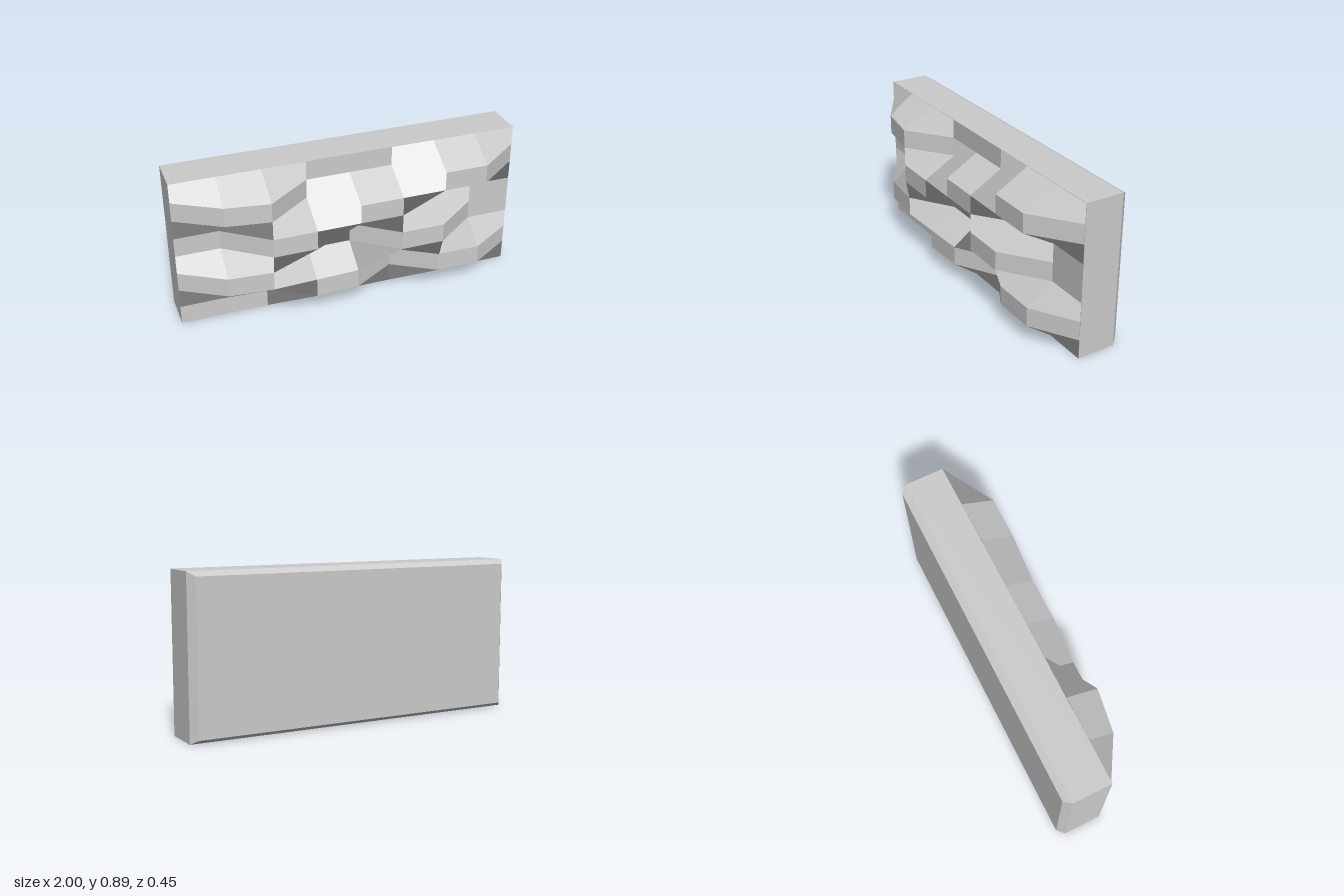
import * as THREE from 'three';

const W = 2, H = 0.889, N = 8;
const FRONT = 0.037, BEVEL_Z = -0.185, BACK = -0.226;

// How far the rock stands out at each grid point, in hundredths, top row first
const RELIEF = [
  [0, 0, 0, 0, 0, 0, 0, 0, 0],
  [0, 15, 19, 0, 0, 0, 19, 19, 0],
  [0, 15, 19, 0, 19, 19, 19, 19, 0],
  [0, 0, 19, 19, 19, 19, 0, 0, 0],
  [0, 0, 19, 19, 0, 19, 19, 0, 0],
  [0, 15, 17, 0, 0, 19, 19, 0, 0],
  [0, 15, 17, 16, 15, 0, 15.5, 15.5, 0],
  [0, 0, 0, 16, 15, 0, 15.5, 15.5, 0],
  [0, 0, 0, 0, 0, 0, 0, 0, 0],
];

// Plain block with a chamfer round its back face
function backingGeometry() {
  const box = new THREE.BoxGeometry(W, H, 2, 1, 1, 2);
  const p = box.attributes.position;
  for (let i = 0; i < p.count; i++) {
    const z = p.getZ(i);
    if (z > 0.5) p.setZ(i, FRONT);
    else if (z > -0.5) p.setZ(i, BEVEL_Z);
    else {
      p.setXYZ(i, p.getX(i) - Math.sign(p.getX(i)) * 0.035,
        p.getY(i) - Math.sign(p.getY(i)) * 0.025, BACK);
    }
  }
  const geometry = box.toNonIndexed();
  geometry.computeVertexNormals();
  return geometry;
}

// Faceted stone relief: each grid cell is one quad with a single normal
function reliefGeometry() {
  const point = (col, row) => new THREE.Vector3(
    -W / 2 + (W * col) / N, H - (H * row) / N, FRONT + 0.002 + RELIEF[row][col] / 100);
  const positions = [], normals = [], index = [];
  for (let row = 0; row < N; row++) {
    for (let col = 0; col < N; col++) {
      const bl = point(col, row + 1), br = point(col + 1, row + 1);
      const tr = point(col + 1, row), tl = point(col, row);
      const normal = tr.clone().sub(bl).cross(tl.clone().sub(br)).normalize();
      const k = positions.length / 3;
      for (const v of [bl, br, tr, tl]) {
        positions.push(v.x, v.y, v.z);
        normals.push(normal.x, normal.y, normal.z);
      }
      index.push(k, k + 1, k + 2, k, k + 2, k + 3);
    }
  }
  const geometry = new THREE.BufferGeometry();
  geometry.setAttribute('position', new THREE.Float32BufferAttribute(positions, 3));
  geometry.setAttribute('normal', new THREE.Float32BufferAttribute(normals, 3));
  geometry.setIndex(index);
  return geometry;
}

export function createModel() {
  const group = new THREE.Group();
  group.name = 'stoneWallPanel';
  const material = new THREE.MeshStandardMaterial({ color: 0xcccccc });

  const backing = new THREE.Mesh(backingGeometry(), material);
  backing.name = 'backingSlab';
  backing.position.y = H / 2;

  const relief = new THREE.Mesh(reliefGeometry(), material);
  relief.name = 'stoneRelief';

  group.add(backing, relief);
  return group;
}
